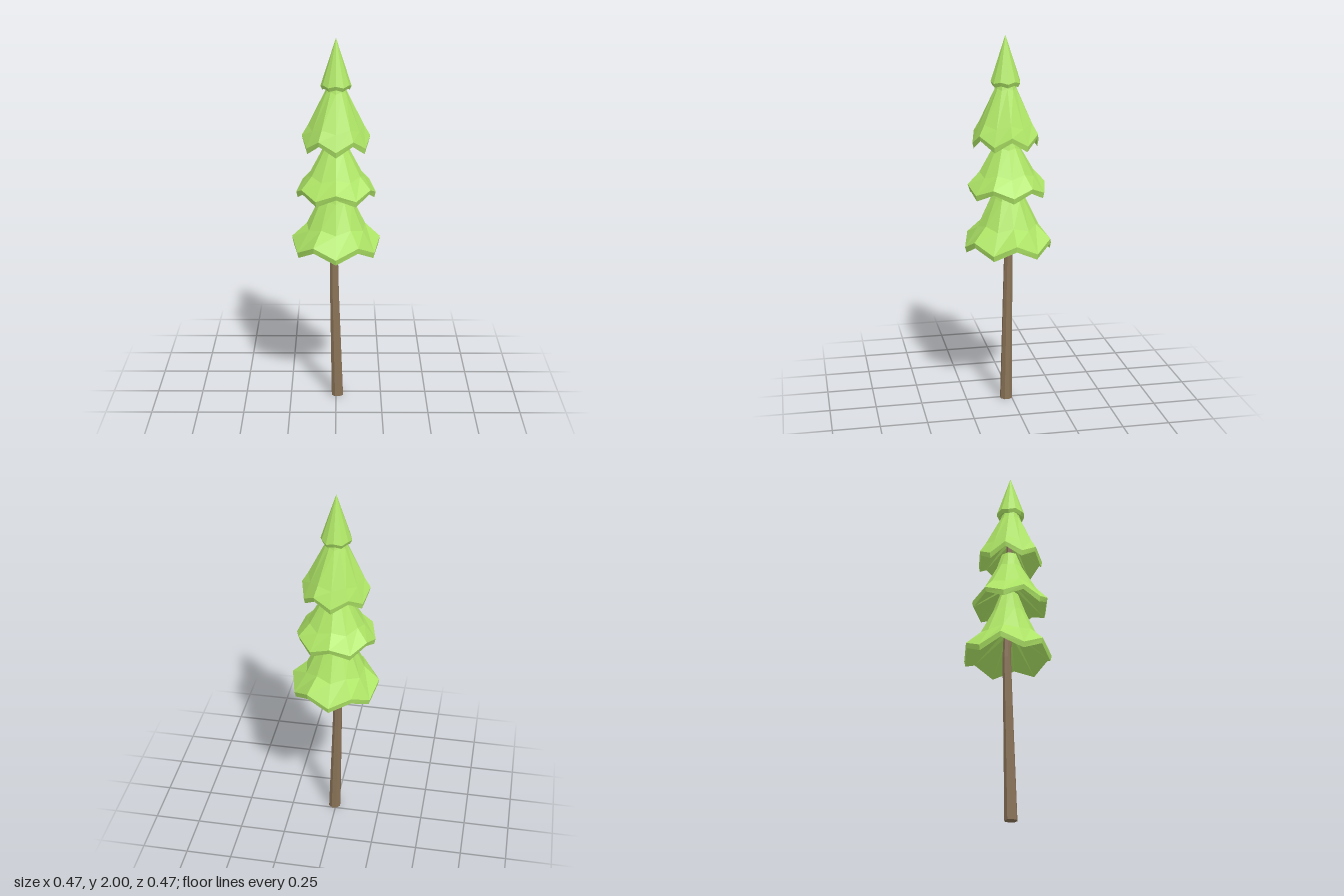
import * as THREE from 'three';

const LEAF = new THREE.MeshStandardMaterial({ color: 0xaee566, flatShading: true });
const BARK = new THREE.MeshStandardMaterial({ color: 0x8a7358, flatShading: true });

// Skin a list of rings, top to bottom; point(ring, k) gives corner k of a ring.
function loft(rings, sides, point) {
  const pos = [];
  const index = [];
  rings.forEach((ring, i) => {
    for (let k = 0; k < sides; k++) {
      pos.push(...point(ring, k));
      if (i === 0) continue;
      const n = (k + 1) % sides;
      const a = (i - 1) * sides + k, b = (i - 1) * sides + n;
      const c = i * sides + k, d = i * sides + n;
      index.push(a, d, c, a, b, d);
    }
  });
  const geometry = new THREE.BufferGeometry();
  geometry.setAttribute('position', new THREE.Float32BufferAttribute(pos, 3));
  geometry.setIndex(index);
  const flat = geometry.toNonIndexed();
  flat.computeVertexNormals();
  return flat;
}

// One skirt of branches: 12 corners, alternately raised and drooping.
// Each ring is [radius, y of raised corners, radius, y of drooping corners].
function tier({ name, z, droopOdd, rings, zTop = z }) {
  const yTop = rings[0][1];
  const yLow = rings[rings.length - 2][1];
  const geometry = loft(rings, 12, ([rHigh, yHigh, rLow, yDroop], k) => {
    const droops = (k % 2 === 1) === droopOdd;
    const r = droops ? rLow : rHigh;
    const y = droops ? yDroop : yHigh;
    const t = THREE.MathUtils.clamp((yHigh - yLow) / (yTop - yLow), 0, 1);
    const a = (k * Math.PI) / 6;
    return [r * Math.cos(a), y, THREE.MathUtils.lerp(z, zTop, t) + r * Math.sin(a)];
  });
  const mesh = new THREE.Mesh(geometry, LEAF);
  mesh.name = name;
  return mesh;
}

export function createModel() {
  const tree = new THREE.Group();
  tree.name = 'pineTree';

  // Slightly bowed, tapering trunk: x, y, z, radius
  const trunkRings = [
    [0, 1.78, 0.03, 0], [0, 1.78, 0.03, 0.015], [0, 1.25, 0.022, 0.02],
    [-0.012, 0.88, 0.012, 0.023], [-0.008, 0.6, 0.018, 0.026],
    [0.008, 0, 0.03, 0.034], [0.008, 0, 0.03, 0],
  ];
  const trunk = new THREE.Mesh(loft(trunkRings, 8, ([x, y, z, r], k) => {
    const a = ((k + 0.5) * Math.PI) / 4;
    return [x + r * Math.cos(a), y, z + r * Math.sin(a)];
  }), BARK);
  trunk.name = 'trunk';
  tree.add(trunk);

  // Skirts from bottom to top: cap, slope, brim, lip, folded underside
  tree.add(
    tier({
      name: 'bottomBranches', z: 0.015, zTop: 0.022, droopOdd: true,
      rings: [
        [0, 1.28, 0, 1.28], [0.045, 1.26, 0.05, 1.26], [0.085, 1.15, 0.095, 1.14],
        [0.155, 1.01, 0.165, 0.99], [0.235, 0.935, 0.235, 0.88],
        [0.23, 0.905, 0.228, 0.85], [0.03, 1.04, 0.03, 1.02],
      ],
    }),
    tier({
      name: 'lowerMiddleBranches', z: 0.026, droopOdd: false,
      rings: [
        [0, 1.52, 0, 1.52], [0.04, 1.5, 0.045, 1.5], [0.07, 1.42, 0.075, 1.41],
        [0.145, 1.29, 0.15, 1.27], [0.207, 1.225, 0.21, 1.185],
        [0.2, 1.2, 0.203, 1.155], [0.025, 1.32, 0.025, 1.3],
      ],
    }),
    tier({
      name: 'upperMiddleBranches', z: 0.03, droopOdd: true,
      rings: [
        [0, 1.82, 0, 1.82], [0.035, 1.8, 0.035, 1.8], [0.055, 1.73, 0.06, 1.72],
        [0.145, 1.55, 0.14, 1.53], [0.178, 1.495, 0.176, 1.445],
        [0.172, 1.47, 0.17, 1.415], [0.022, 1.6, 0.022, 1.58],
      ],
    }),
    tier({
      name: 'treetop', z: 0.031, droopOdd: false,
      rings: [
        [0, 2, 0, 2], [0.078, 1.765, 0.08, 1.755],
        [0.069, 1.745, 0.07, 1.735], [0.018, 1.78, 0.018, 1.77],
      ],
    }),
  );
  return tree;
}
